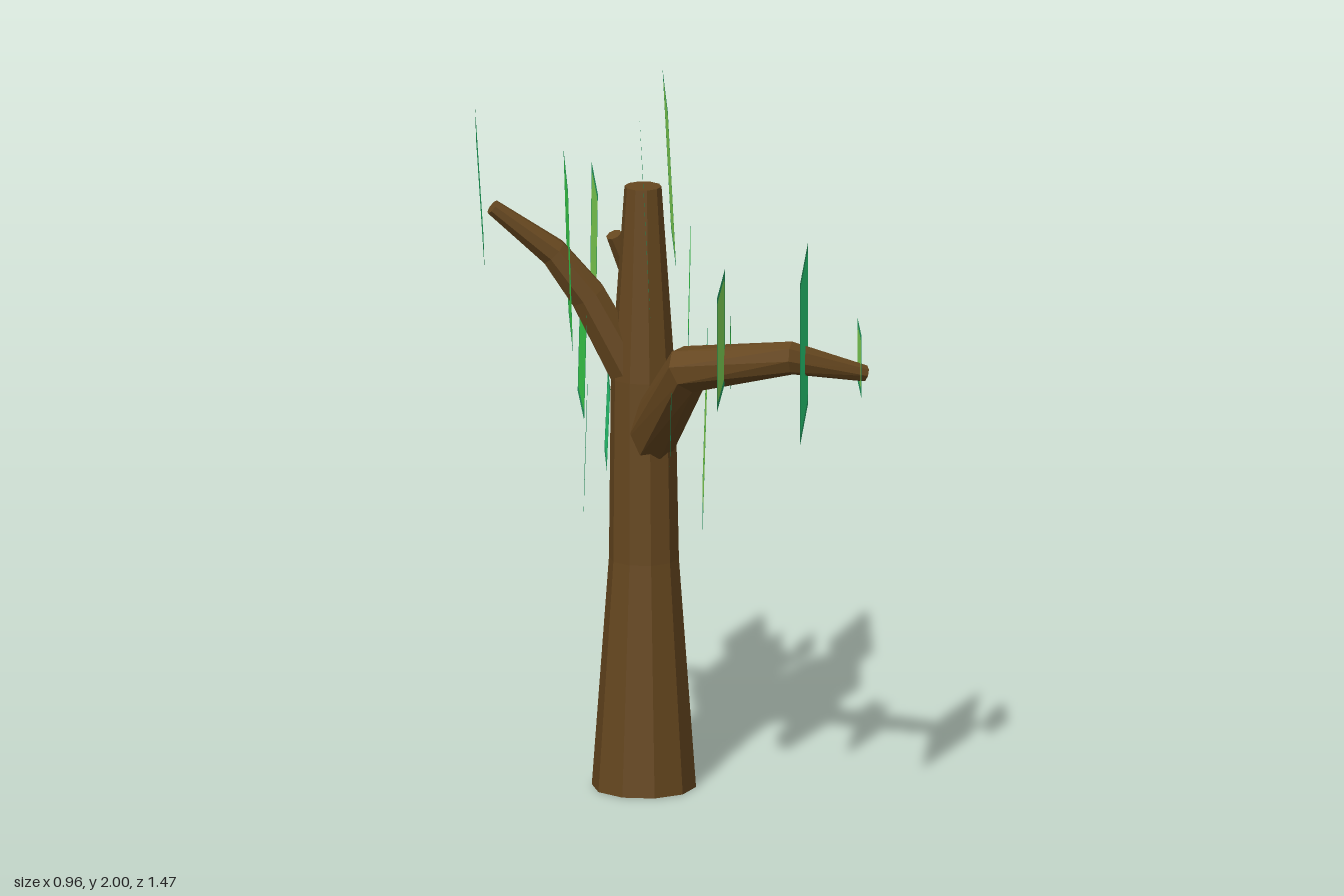
import * as THREE from 'three';

const bark = new THREE.MeshStandardMaterial({ color: 0x66471f });
const leaf = (color) => new THREE.MeshStandardMaterial({ color, side: THREE.DoubleSide });
const edgeGreen = leaf(0x2aab6b);
const limeGreen = leaf(0x8ce75d);
const brightGreen = leaf(0x3fe453);
const tealGreen = leaf(0x2ce080);

// Faceted limb through points [x, y, z, radius], capped at both ends
function limb(name, points, sides) {
  const centres = points.map((p) => new THREE.Vector3(p[0], p[1], p[2]));
  const up = new THREE.Vector3(0, 1, 0);
  const rings = points.map((p, i) => {
    const before = centres[Math.max(i - 1, 0)];
    const after = centres[Math.min(i + 1, centres.length - 1)];
    const turn = new THREE.Quaternion().setFromUnitVectors(up, after.clone().sub(before).normalize());
    return Array.from({ length: sides }, (_, j) => {
      const a = (j / sides) * Math.PI * 2;
      return new THREE.Vector3(Math.cos(a) * p[3], 0, Math.sin(a) * p[3])
        .applyQuaternion(turn).add(centres[i]);
    });
  });
  const corners = [];
  const last = rings.length - 1;
  for (let j = 0; j < sides; j++) {
    const k = (j + 1) % sides;
    for (let i = 0; i < last; i++) {
      const a = rings[i][j], b = rings[i + 1][j], c = rings[i][k], d = rings[i + 1][k];
      corners.push(a, b, c, c, b, d);
    }
    corners.push(centres[0], rings[0][j], rings[0][k]);
    corners.push(centres[last], rings[last][k], rings[last][j]);
  }
  const geometry = new THREE.BufferGeometry().setFromPoints(corners);
  geometry.computeVertexNormals();
  const mesh = new THREE.Mesh(geometry, bark);
  mesh.name = name;
  return mesh;
}

// Rectangle outline centred on the origin, with rounded corners
function outline(path, w, h, r) {
  const x = w / 2, y = h / 2;
  path.moveTo(-x + r, -y).lineTo(x - r, -y).quadraticCurveTo(x, -y, x, -y + r);
  path.lineTo(x, y - r).quadraticCurveTo(x, y, x - r, y);
  path.lineTo(-x + r, y).quadraticCurveTo(-x, y, -x, y - r);
  path.lineTo(-x, -y + r).quadraticCurveTo(-x, -y, -x + r, -y);
  return path;
}

// Upright leaf panel from (x0, z0) to (x1, z1), leaning back by lean at its top
function leafPanel([x0, x1, z0, z1, y0, y1, lean, fill]) {
  const panel = new THREE.Group();
  panel.name = 'leafPanel';
  const w = Math.hypot(x1 - x0, z1 - z0);
  const h = Math.hypot(y1 - y0, lean);
  const border = 0.02;
  const along = new THREE.Vector3(x1 - x0, 0, z1 - z0).normalize();
  const rise = new THREE.Vector3(along.z * lean, y1 - y0, -along.x * lean).normalize();
  const facing = along.clone().cross(rise);
  const place = new THREE.Matrix4().makeBasis(along, rise, facing)
    .setPosition((x0 + x1) / 2, (y0 + y1) / 2, (z0 + z1) / 2);
  const add = (name, shape, material) => {
    const mesh = new THREE.Mesh(new THREE.ShapeGeometry(shape, 4).applyMatrix4(place), material);
    mesh.name = name;
    panel.add(mesh);
  };
  const rim = new THREE.Shape();
  rim.moveTo(-w / 2, -h / 2).lineTo(w / 2, -h / 2).lineTo(w / 2, h / 2).lineTo(-w / 2, h / 2);
  if (fill) {
    const inner = [w - 2 * border, h - 2 * border, 0.08 * w];
    rim.holes.push(outline(new THREE.Path(), ...inner));
    add('leafFill', outline(new THREE.Shape(), ...inner), fill);
  }
  add('leafEdge', rim, edgeGreen);
  return panel;
}

export function createModel() {
  const tree = new THREE.Group();
  tree.name = 'tree';

  // Trunk and its three bent branches
  tree.add(limb('trunk', [
    [0.048, 0, -0.13, 0.149], [0.048, 0.67, -0.13, 0.1],
    [0.048, 1.2, -0.135, 0.092], [0.048, 1.76, -0.135, 0.053],
  ], 10));
  tree.add(limb('frontBranch', [
    [0.05, 1.03, -0.1, 0.078], [0.05, 1.28, 0.12, 0.07],
    [0.2, 1.37, 0.455, 0.048], [0.425, 1.3, 0.475, 0.024],
  ], 8));
  tree.add(limb('backLeftBranch', [
    [0.09, 0.71, -0.17, 0.066], [0.24, 0.9, -0.45, 0.056],
    [0.27, 1.28, -0.48, 0.048], [0.14, 1.53, -0.465, 0.023],
  ], 8));
  tree.add(limb('rightBranch', [
    [0.03, 1.18, -0.14, 0.064], [-0.09, 1.44, -0.21, 0.055],
    [-0.18, 1.57, -0.25, 0.043], [-0.345, 1.71, -0.31, 0.023],
  ], 8));

  // Leaf panels: x0, x1, z0, z1, y0, y1, lean, fill colour (none = plain)
  const panels = [
    [0.08, 0.30, -0.025, -0.44, 1.535, 2.0, 0.024, limeGreen],
    [-0.17, 0.07, 0.265, -0.17, 1.48, 1.955, 0.024, null],
    [0.065, 0.32, 0.735, 0.335, 1.195, 1.67, 0, tealGreen],
    [0.06, 0.225, 0.11, -0.18, 1.31, 1.645, -0.007, brightGreen],
    [-0.09, 0.09, 0.53, 0.26, 1.265, 1.6, 0, limeGreen],
    [0.08, 0.31, 0.165, -0.24, 0.815, 1.285, -0.014, limeGreen],
    [-0.1, 0, 0.28, 0.11, 1.05, 1.24, -0.003, null],
    [-0.275, -0.105, 0.1, -0.195, 0.885, 1.215, -0.01, null],
    [0.09, 0.19, 0.29, 0.12, 1.245, 1.43, 0, brightGreen],
    [0.385, 0.475, 0.525, 0.345, 1.245, 1.43, 0, limeGreen],
    [-0.47, -0.285, -0.16, -0.49, 1.575, 1.955, 0.024, tealGreen],
    [0.06, 0.22, -0.42, -0.735, 1.29, 1.67, -0.005, limeGreen],
    [0.255, 0.38, -0.49, -0.715, 1.075, 1.34, -0.006, brightGreen],
    [0.235, 0.33, -0.375, -0.55, 1.34, 1.525, 0, limeGreen],
    [0.22, 0.325, -0.47, -0.645, 0.905, 1.13, -0.008, limeGreen],
    [-0.12, 0.03, -0.17, -0.47, 1.085, 1.415, -0.008, brightGreen],
    [-0.255, -0.03, -0.02, -0.44, 1.335, 1.81, 0.014, brightGreen],
    [0.035, 0.15, -0.31, -0.525, 0.885, 1.125, -0.01, tealGreen],
    [0.1, 0.26, -0.14, -0.425, 0.692, 1.025, -0.008, limeGreen],
  ];
  const foliage = new THREE.Group();
  foliage.name = 'foliage';
  panels.forEach((p) => foliage.add(leafPanel(p)));
  tree.add(foliage);
  return tree;
}
